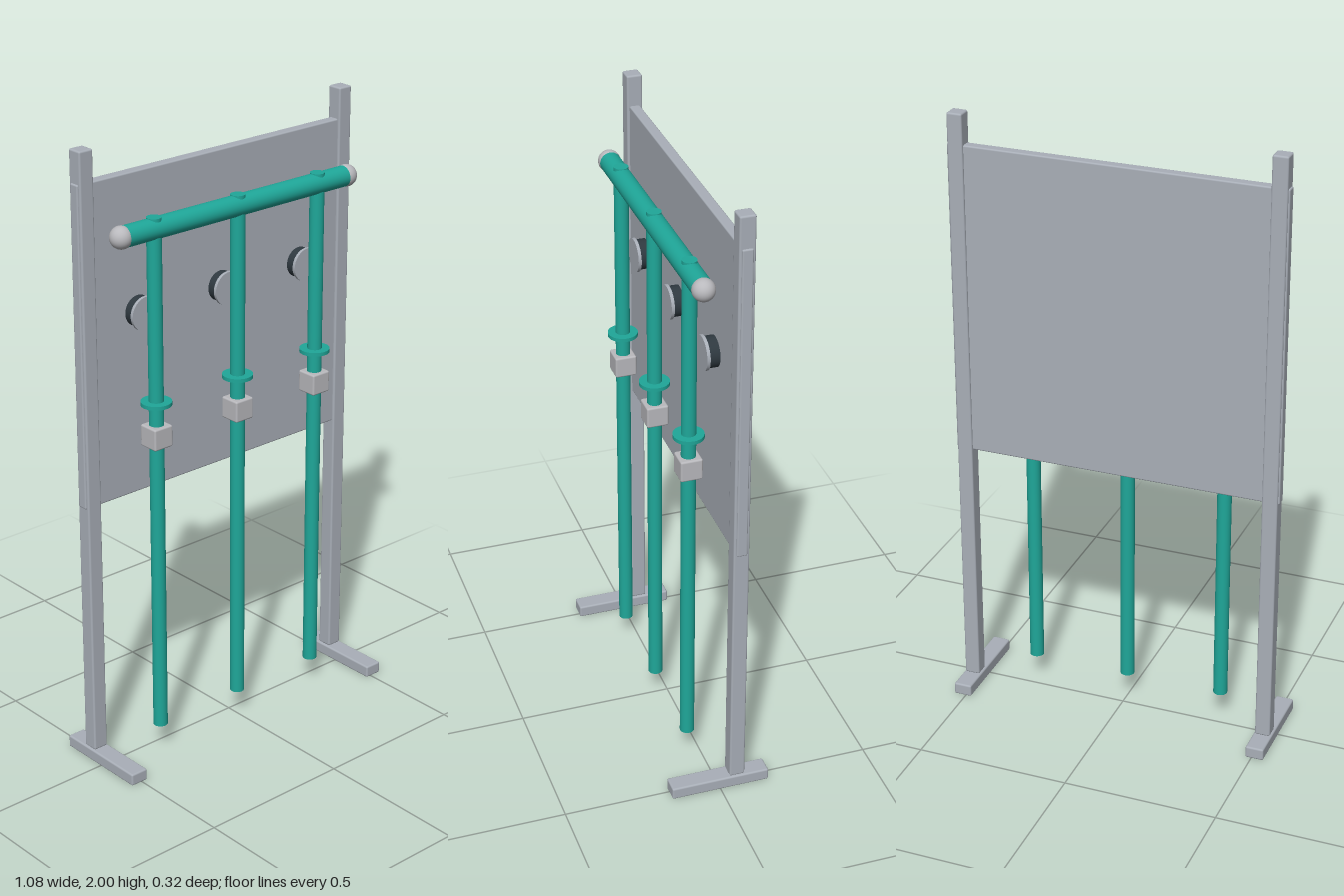
import * as THREE from 'three';
import { RoundedBoxGeometry } from 'three/addons/geometries/RoundedBoxGeometry.js';

export function createModel() {
  const model = new THREE.Group();
  model.name = 'hangingPoleStand';

  const material = (name, color) => {
    const m = new THREE.MeshStandardMaterial({ color });
    m.name = name;
    return m;
  };
  const grey = material('frameGrey', 0xa9afb8);
  const teal = material('tealPaint', 0x1fa799);
  const dark = material('darkSlate', 0x2f3940);
  const silver = material('silver', 0xb9b9bd);

  const add = (parent, name, geometry, mat, x, y, z) => {
    const mesh = new THREE.Mesh(geometry, mat);
    mesh.name = name;
    mesh.position.set(x, y, z);
    parent.add(mesh);
    return mesh;
  };
  const box = (w, h, d, r = 0.006) => new RoundedBoxGeometry(w, h, d, 2, r);
  const rod = (r, h) => new THREE.CylinderGeometry(r, r, h, 32);

  const barY = 1.745, rodZ = 0.041, frameZ = -0.056;

  // Side frames: floor foot and upright post
  for (const [side, s] of [['left', 1], ['right', -1]]) {
    add(model, side + 'Foot', box(0.06, 0.04, 0.32), grey, s * 0.51, 0.025 - 0.005, 0);
    add(model, side + 'Post', box(0.05, 1.96, 0.05), grey, s * 0.51, 1.02, frameZ);
  }

  // Back board, running through both posts
  add(model, 'backBoard', box(1.08, 1.02, 0.034, 0.005), grey, 0, 1.39, frameZ);

  // Horizontal bar with ball ends
  add(model, 'crossBar', rod(0.033, 0.89), teal, 0, barY, rodZ).rotation.z = Math.PI / 2;
  for (const [side, s] of [['left', 1], ['right', -1]]) {
    add(model, side + 'EndBall', new THREE.SphereGeometry(0.035, 32, 20), silver, s * 0.447, barY, rodZ);
  }

  // Three stations: pole with collar and block, round mount on the board
  for (const [label, x] of [['right', -0.325], ['middle', 0], ['left', 0.325]]) {
    const station = new THREE.Group();
    station.name = label + 'Station';
    station.position.x = x;
    model.add(station);

    add(station, 'pole', rod(0.023, 1.69), teal, 0, 0.935, rodZ);
    add(station, 'collar', rod(0.048, 0.012), teal, 0, 1.197, rodZ);
    add(station, 'block', box(0.07, 0.07, 0.07), silver, 0, 1.091, rodZ);
    add(station, 'mountBody', rod(0.048, 0.036), dark, 0, 1.47, -0.024).rotation.x = Math.PI / 2;
    add(station, 'mountFace', rod(0.054, 0.01), grey, 0, 1.47, -0.002).rotation.x = Math.PI / 2;
  }

  return model;
}
